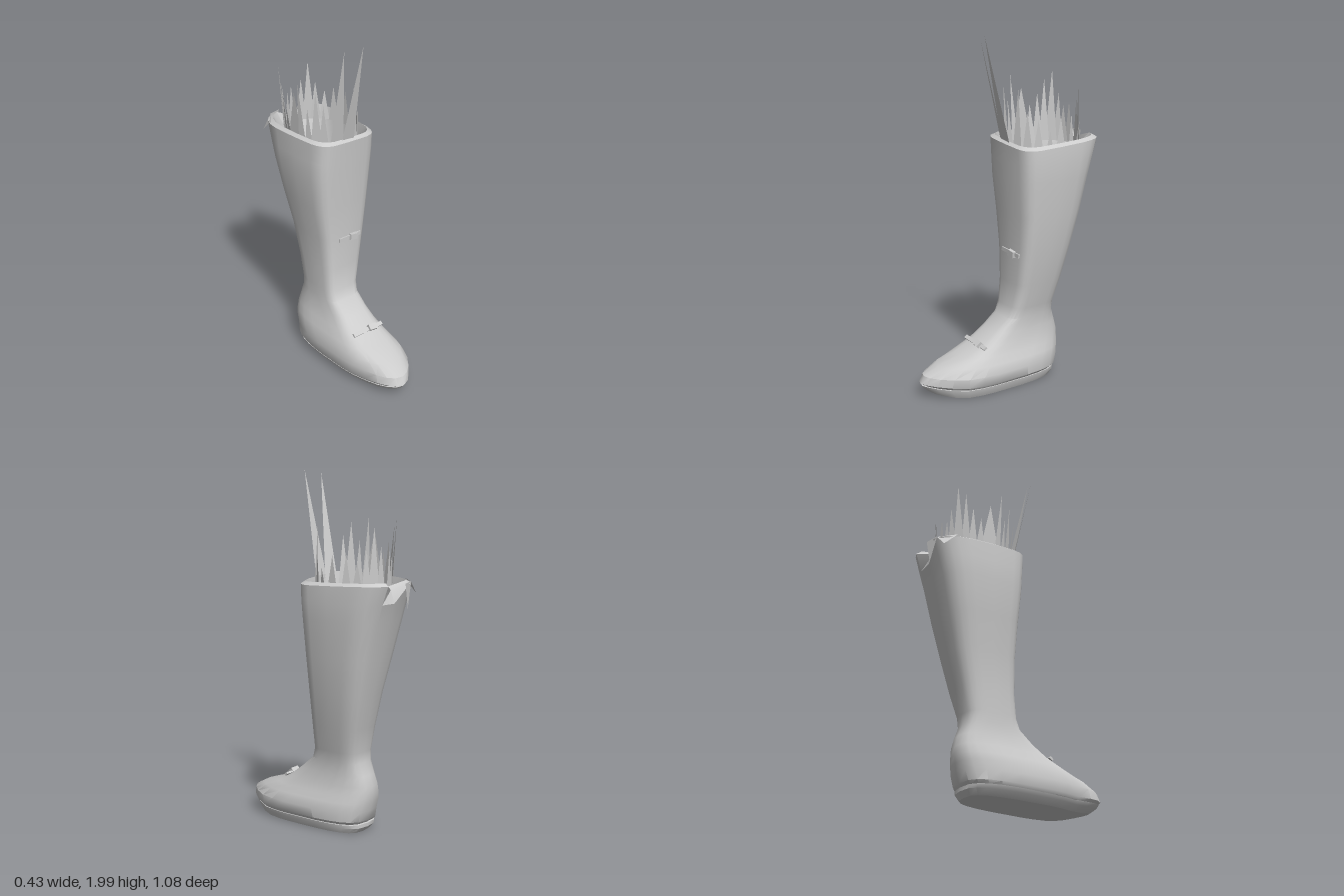
import * as THREE from 'three';
import { toCreasedNormals } from 'three/addons/utils/BufferGeometryUtils.js';

const SEG = 24;
const leather = new THREE.MeshStandardMaterial({ color: 0xcccccc, side: THREE.DoubleSide });
leather.name = 'pale grey leather';

const power = (v, p) => Math.sign(v) * Math.pow(Math.abs(v), p);
const clamp01 = (v) => THREE.MathUtils.clamp(v, 0, 1);

// One horizontal section: [y, xMin, xMax, zFront, zBack, zMiddle, frontPower, backPower]
function ringPoint([y, x0, x1, zf, zb, zm, pf, pb], a) {
  const c = Math.cos(a), s = Math.sin(a), p = s > 0 ? pf : pb;
  const x = (x0 + x1) / 2 + (x1 - x0) / 2 * power(c, p);
  const z = zm + (s > 0 ? zf - zm : zm - zb) * power(s, p);
  return new THREE.Vector3(x, y, z);
}

// Raised, inward-turned toe at the bottom; slanted front rim and a back notch at the top
function bend(v, j) {
  if (v.y < 0.2) {
    const t = clamp01((v.z - 0.36) / 0.17);
    v.y += 0.035 * t * clamp01(1 - v.y / 0.15);
    v.x -= 0.035 * t;
  }
  if (v.y > 1.38) {
    v.y -= 0.09 * v.x * clamp01((v.z + 0.45) / 0.45);
    if (j === 18) { v.z += 0.06; v.y -= 0.03; }
  }
  return v;
}

// Skin joining the sections; optional flat caps at the first or last one
function loft(rows, capStart = false, capEnd = false) {
  const pos = [], index = [];
  for (const row of rows)
    for (let j = 0; j < SEG; j++) pos.push(...bend(ringPoint(row, j / SEG * Math.PI * 2), j).toArray());
  for (let i = 0; i < rows.length - 1; i++)
    for (let j = 0; j < SEG; j++) {
      const k = (j + 1) % SEG, a = i * SEG + j, b = i * SEG + k;
      index.push(a, a + SEG, b, b, a + SEG, b + SEG);
    }
  const cap = (i, flip) => {
    const r = rows[i], n = pos.length / 3;
    pos.push((r[1] + r[2]) / 2, r[0], r[5]);
    for (let j = 0; j < SEG; j++) {
      const a = i * SEG + j, b = i * SEG + (j + 1) % SEG;
      index.push(n, ...(flip ? [b, a] : [a, b]));
    }
  };
  if (capStart) cap(0, false);
  if (capEnd) cap(rows.length - 1, true);
  const g = new THREE.BufferGeometry();
  g.setAttribute('position', new THREE.Float32BufferAttribute(pos, 3));
  g.setIndex(index);
  return toCreasedNormals(g, 0.6);
}

export function createModel() {
  const model = new THREE.Group();
  const add = (name, geometry, parent = model) => {
    const m = new THREE.Mesh(geometry, leather);
    m.name = name;
    parent.add(m);
    return m;
  };

  // Sole with a slightly raised toe
  add('sole', loft([
    [0.005, -0.16, 0.10, 0.49, -0.27, 0.17, 1.1, 0.6],
    [0.035, -0.19, 0.115, 0.53, -0.295, 0.17, 1.1, 0.6],
    [0.055, -0.20, 0.12, 0.54, -0.295, 0.17, 1.1, 0.6],
    [0.058, -0.19, 0.11, 0.52, -0.28, 0.17, 1.1, 0.6],
  ], true));

  // Foot and shaft
  add('bootUpper', loft([
    [0.058, -0.20, 0.12, 0.53, -0.285, 0.17, 1.1, 0.6],
    [0.075, -0.21, 0.135, 0.55, -0.30, 0.17, 1.1, 0.6],
    [0.13, -0.21, 0.143, 0.53, -0.315, 0.17, 1.05, 0.65],
    [0.18, -0.203, 0.125, 0.44, -0.325, 0.11, 0.85, 0.65],
    [0.22, -0.188, 0.105, 0.31, -0.33, 0.06, 0.65, 0.65],
    [0.27, -0.167, 0.09, 0.20, -0.328, 0.0, 0.55, 0.65],
    [0.33, -0.148, 0.08, 0.12, -0.31, -0.06, 0.52, 0.65],
    [0.40, -0.14, 0.078, 0.035, -0.28, -0.11, 0.48, 0.6],
    [0.46, -0.14, 0.09, 0.01, -0.28, -0.12, 0.46, 0.6],
    [0.6, -0.14, 0.125, 0.0, -0.312, -0.14, 0.44, 0.58],
    [0.8, -0.153, 0.16, 0.0, -0.36, -0.17, 0.42, 0.58],
    [1.0, -0.185, 0.19, 0.005, -0.41, -0.19, 0.42, 0.58],
    [1.2, -0.207, 0.205, 0.02, -0.46, -0.20, 0.42, 0.56],
    [1.3, -0.21, 0.212, 0.025, -0.49, -0.20, 0.42, 0.56],
    [1.4, -0.207, 0.208, 0.033, -0.525, -0.20, 0.42, 0.56],
    [1.415, -0.187, 0.187, 0.015, -0.50, -0.20, 0.45, 0.6],
  ]));

  // Inner lining going down to a floor
  add('lining', loft([
    [1.415, -0.187, 0.187, 0.015, -0.50, -0.20, 0.45, 0.6],
    [1.33, -0.183, 0.183, 0.01, -0.455, -0.20, 0.7, 0.75],
    [1.15, -0.175, 0.175, 0.0, -0.41, -0.20, 0.7, 0.75],
    [0.85, -0.13, 0.13, -0.02, -0.335, -0.17, 0.8, 0.85],
  ], false, true));

  // Jagged blades round the opening: angle in degrees, base width, tip height, outward lean
  const blades = [
    [94, 0.09, 1.99, 0.14], [113, 0.08, 1.97, 0.13], [133, 0.06, 1.63, 0.03], [144, 0.07, 1.70, 0.02],
    [156, 0.05, 1.60, 0.02], [167, 0.05, 1.74, 0.04], [180, 0.13, 1.66, 0.01], [195, 0.06, 1.56, 0.02],
    [206, 0.06, 1.62, 0.02], [216, 0.06, 1.70, 0.03], [227, 0.07, 1.75, 0.03], [238, 0.06, 1.62, 0.02],
    [249, 0.06, 1.56, 0.0], [261, 0.06, 1.58, 0.0], [283, 0.06, 1.60, 0.0], [296, 0.07, 1.70, 0.0],
    [308, 0.06, 1.58, 0.0], [322, 0.06, 1.52, 0.02], [338, 0.06, 1.56, 0.0], [0, 0.07, 1.55, 0.0],
    [18, 0.05, 1.48, 0.01], [35, 0.06, 1.54, 0.0], [52, 0.06, 1.58, 0.0], [70, 0.06, 1.70, -0.01],
  ];
  const pts = [];
  for (const [deg, width, tip, lean] of blades) {
    const a = deg * Math.PI / 180, c = Math.cos(a), s = Math.sin(a);
    const x = 0.18 * c, z = -0.215 + 0.22 * s, w = width / 2;
    pts.push(x + s * w, 1.35, z - c * w, x - s * w, 1.35, z + c * w, x + c * lean, tip, z + s * lean);
  }
  // Blades flopped over the back rim
  pts.push(-0.04, 1.405, -0.53, -0.12, 1.41, -0.51, -0.07, 1.27, -0.525);
  pts.push(-0.12, 1.405, -0.51, -0.19, 1.415, -0.42, -0.18, 1.34, -0.50);
  const bladeGeo = new THREE.BufferGeometry();
  bladeGeo.setAttribute('position', new THREE.Float32BufferAttribute(pts, 3));
  bladeGeo.computeVertexNormals();
  add('liningBlades', bladeGeo);

  // Small straps with buckles on the shin and instep
  const strap = (name, x, y, z, length, buckleX, tilt) => {
    const g = new THREE.Group();
    g.name = name;
    g.position.set(x, y, z);
    g.rotation.set(tilt, 0, -0.05);
    add(name + 'Band', new THREE.BoxGeometry(length, 0.022, 0.012), g);
    const b = add(name + 'Buckle', new THREE.BoxGeometry(0.05, 0.035, 0.03), g);
    b.position.set(buckleX, 0, 0.005);
    b.rotation.z = -0.1;
    model.add(g);
  };
  strap('shinStrap', 0.015, 0.78, 0.0, 0.16, 0.02, 0);
  strap('instepStrap', -0.035, 0.27, 0.207, 0.21, 0.03, -0.9);

  return model;
}
